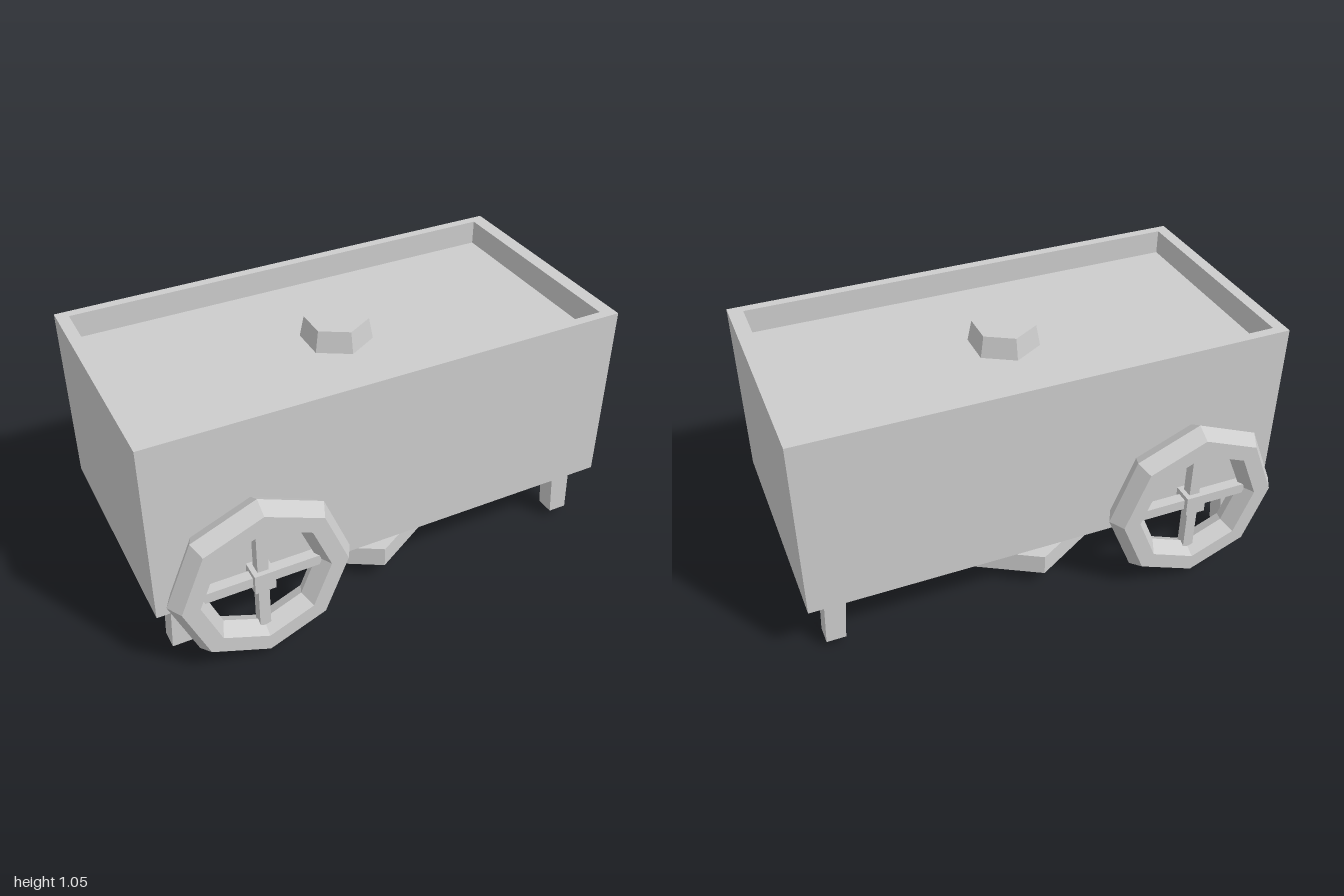
import * as THREE from 'three';

const paint = new THREE.MeshStandardMaterial({ color: 0xcccccc });
paint.name = 'plain grey';

export function createModel() {
  const group = new THREE.Group();
  group.name = 'cart';

  // Adds one flat-faceted part
  const add = (parent, name, geometry, x = 0, y = 0, z = 0) => {
    const flat = geometry.index ? geometry.toNonIndexed() : geometry;
    flat.computeVertexNormals();
    const mesh = new THREE.Mesh(flat, paint);
    mesh.name = name;
    mesh.position.set(x, y, z);
    parent.add(mesh);
    return mesh;
  };
  const hexagon = (top, bottom, height) => new THREE.CylinderGeometry(top, bottom, height, 6);

  // Solid body with a raised rim around the sunken lid
  const floorY = 0.955, baseY = 0.282, topY = 1.06;
  add(group, 'body', new THREE.BoxGeometry(2, floorY - baseY, 1), 0, (floorY + baseY) / 2, 0);
  const rim = new THREE.Shape([
    [-1, -0.5], [1, -0.5], [1, 0.5], [-1, 0.5],
  ].map(([x, y]) => new THREE.Vector2(x, y)));
  rim.holes.push(new THREE.Path([
    [-0.95, -0.46], [-0.95, 0.46], [0.94, 0.46], [0.94, -0.46],
  ].map(([x, y]) => new THREE.Vector2(x, y))));
  const rimGeometry = new THREE.ExtrudeGeometry(rim, { depth: topY - floorY, bevelEnabled: false });
  rimGeometry.rotateX(-Math.PI / 2);
  add(group, 'rim', rimGeometry, 0, floorY, 0);

  // Six-sided knob on the lid
  add(group, 'lidKnob', hexagon(0.13, 0.147, 0.09), 0, floorY + 0.045, 0);

  // Turntable under the body
  add(group, 'turntableNeck', hexagon(0.32, 0.35, 0.12), 0, 0.228, 0);
  add(group, 'turntablePlate', hexagon(0.45, 0.45, 0.09), 0, 0.125, 0);

  // Corner leg outline, wider near the top on the inner side
  const legOutline = [[0.857, 0.04], [0.937, 0.04], [0.926, 0.285], [0.858, 0.285], [0.842, 0.22]];

  for (const sx of [-1, 1]) {
    for (const sz of [-1, 1]) {
      const leg = new THREE.Shape(legOutline.map(([x, y]) => new THREE.Vector2(sx * x, y)));
      add(group, 'cornerLeg', new THREE.ExtrudeGeometry(leg, { depth: 0.08, bevelEnabled: false }),
        0, 0, sz * 0.4 - 0.04);

      // Short struts running through the turntable
      add(group, 'turntableStrut', new THREE.BoxGeometry(0.08, 0.209, 0.085),
        sx * 0.18, 0.1805, sz * 0.17);
    }
  }

  // Two faceted wheels with crossed spokes
  for (const side of [-1, 1]) {
    const wheel = new THREE.Group();
    wheel.name = side > 0 ? 'frontWheel' : 'backWheel';
    wheel.position.set(-0.6, 0.38, side * 0.5625);
    add(wheel, 'wheelRing', new THREE.TorusGeometry(0.302, 0.072, 6, 8));
    add(wheel, 'spokeAcross', new THREE.BoxGeometry(0.48, 0.045, 0.045));
    add(wheel, 'spokeUpright', new THREE.BoxGeometry(0.045, 0.48, 0.045));
    add(wheel, 'hub', new THREE.BoxGeometry(0.085, 0.085, 0.085));
    group.add(wheel);
  }

  return group;
}
